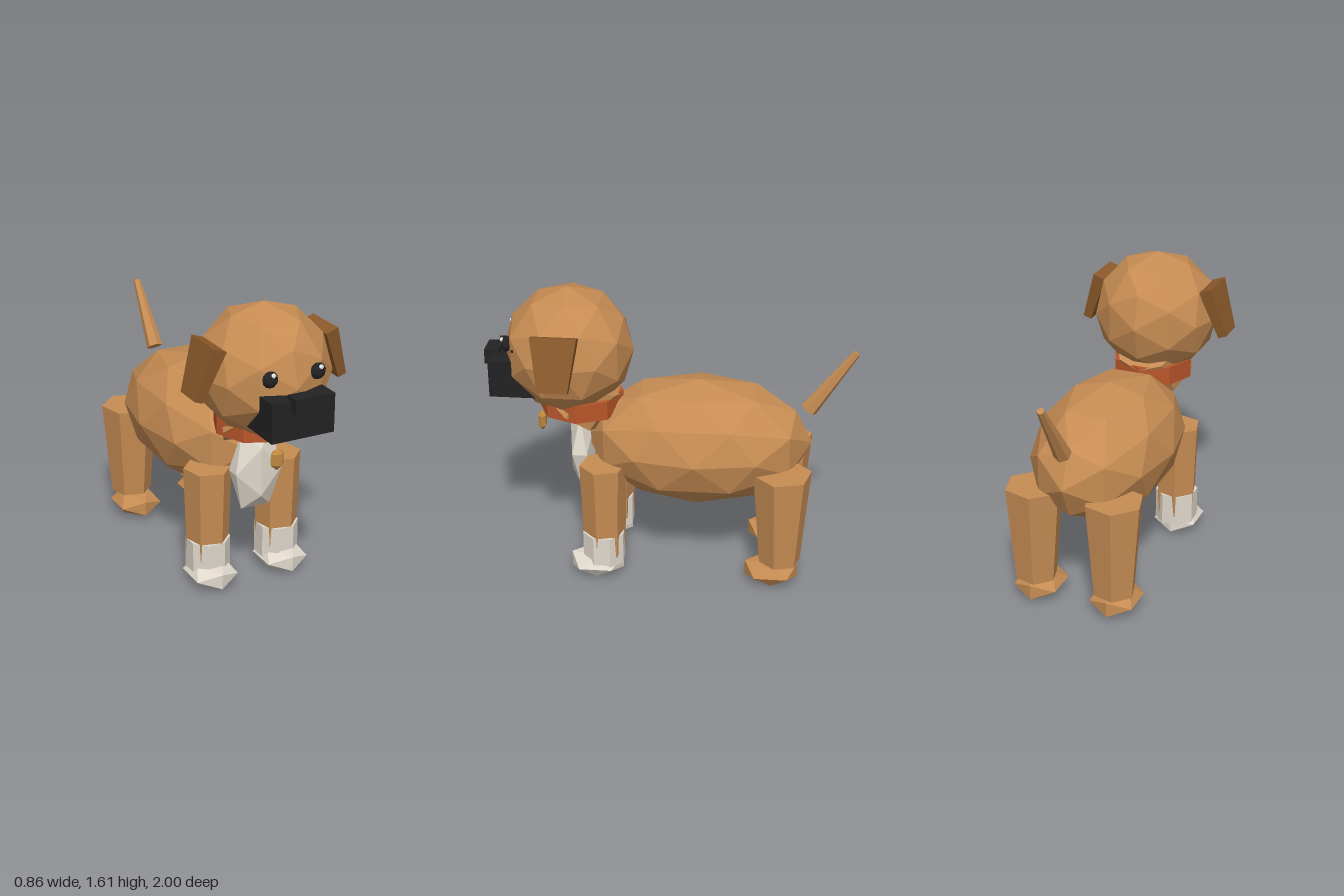
import * as THREE from 'three';

function material(name, color) {
  const m = new THREE.MeshStandardMaterial({ color });
  m.name = name;
  return m;
}

// Bake faceted normals into any geometry
function faceted(geometry) {
  const g = geometry.index ? geometry.toNonIndexed() : geometry;
  g.computeVertexNormals();
  return g;
}

export function createModel() {
  const dog = new THREE.Group();
  dog.name = 'dog';

  const fur = material('tan fur', 0xc68c53);
  const white = material('white fur', 0xe0d8cc);
  const brown = material('brown ear', 0x8b5a2b);
  const black = material('black', 0x222222);
  const orange = material('orange collar', 0xb8562a);
  const gold = material('gold tag', 0xc08a40);
  const glint = material('eye glint', 0xffffff);

  function add(name, geometry, mat, x, y, z) {
    const mesh = new THREE.Mesh(faceted(geometry), mat);
    mesh.name = name;
    mesh.position.set(x, y, z);
    dog.add(mesh);
    return mesh;
  }
  const ball = (rx, ry, rz, detail = 0) =>
    new THREE.IcosahedronGeometry(1, detail).scale(rx, ry, rz);
  const tube = (top, bottom, height, sides) =>
    new THREE.CylinderGeometry(top, bottom, height, sides);

  // Torso, neck and chest patch
  add('body', ball(0.372, 0.353, 0.62, 1), fur, 0, 0.75, -0.15);
  add('neck', tube(0.18, 0.22, 0.23, 8), fur, 0, 1.028, 0.472).rotation.x = -0.7;
  add('chestPatch', ball(0.16, 0.26, 0.077), white, 0, 0.675, 0.49);

  // Head, muzzle and nose
  add('head', ball(0.35, 0.35, 0.35, 1), fur, 0, 1.26, 0.55);
  add('muzzle', new THREE.BoxGeometry(0.35, 0.205, 0.26), black, 0, 1.1325, 0.83);
  add('nose', new THREE.BoxGeometry(0.14, 0.08, 0.08), black, 0, 1.215, 0.96);
  add('freckle', ball(0.01, 0.01, 0.01), black, 0.195, 1.308, 0.818);

  // Collar with hanging tag
  add('collar', tube(0.23, 0.23, 0.105, 8), orange, 0, 0.967, 0.49);
  add('tag', new THREE.SphereGeometry(1, 6, 3).scale(0.043, 0.063, 0.027), gold, 0, 0.818, 0.713);

  // Tail, leaning backwards
  add('tail', tube(0.02, 0.047, 0.415, 6), fur, 0, 1.118, -0.863).rotation.x = -0.61;

  for (const side of [-1, 1]) {
    const label = side > 0 ? 'left' : 'right';

    // Tapered flat ear, flaring outwards
    const earShape = tube(1, 0.65, 0.285, 4).rotateY(Math.PI / 4).scale(0.052, 1, 0.172);
    add(label + 'Ear', earShape, brown, side * 0.362, 1.312, 0.573).rotation.z = side * 0.34;

    // Eye and its glint
    add(label + 'Eye', ball(0.042, 0.044, 0.026, 1), black, side * 0.133, 1.323, 0.862);
    add(label + 'EyeGlint', ball(0.014, 0.014, 0.014), glint, side * 0.133 + 0.006, 1.349, 0.882);

    // Front leg with sock and paw
    add(label + 'FrontLeg', tube(0.13, 0.113, 0.54, 6), fur, side * 0.21, 0.4, 0.35)
      .rotation.y = Math.PI / 12;
    add(label + 'Sock', tube(0.12, 0.12, 0.18, 8), white, side * 0.21, 0.17, 0.353)
      .rotation.y = Math.PI / 8;
    add(label + 'FrontPaw', ball(0.142, 0.08, 0.17), white, side * 0.215, 0.068, 0.39);

    // Rear leg and paw
    add(label + 'RearLeg', tube(0.16, 0.115, 0.54, 6), fur, side * 0.225, 0.4, -0.62)
      .rotation.y = Math.PI / 12;
    add(label + 'RearPaw', ball(0.142, 0.08, 0.17), fur, side * 0.22, 0.068, -0.575);
  }

  return dog;
}
